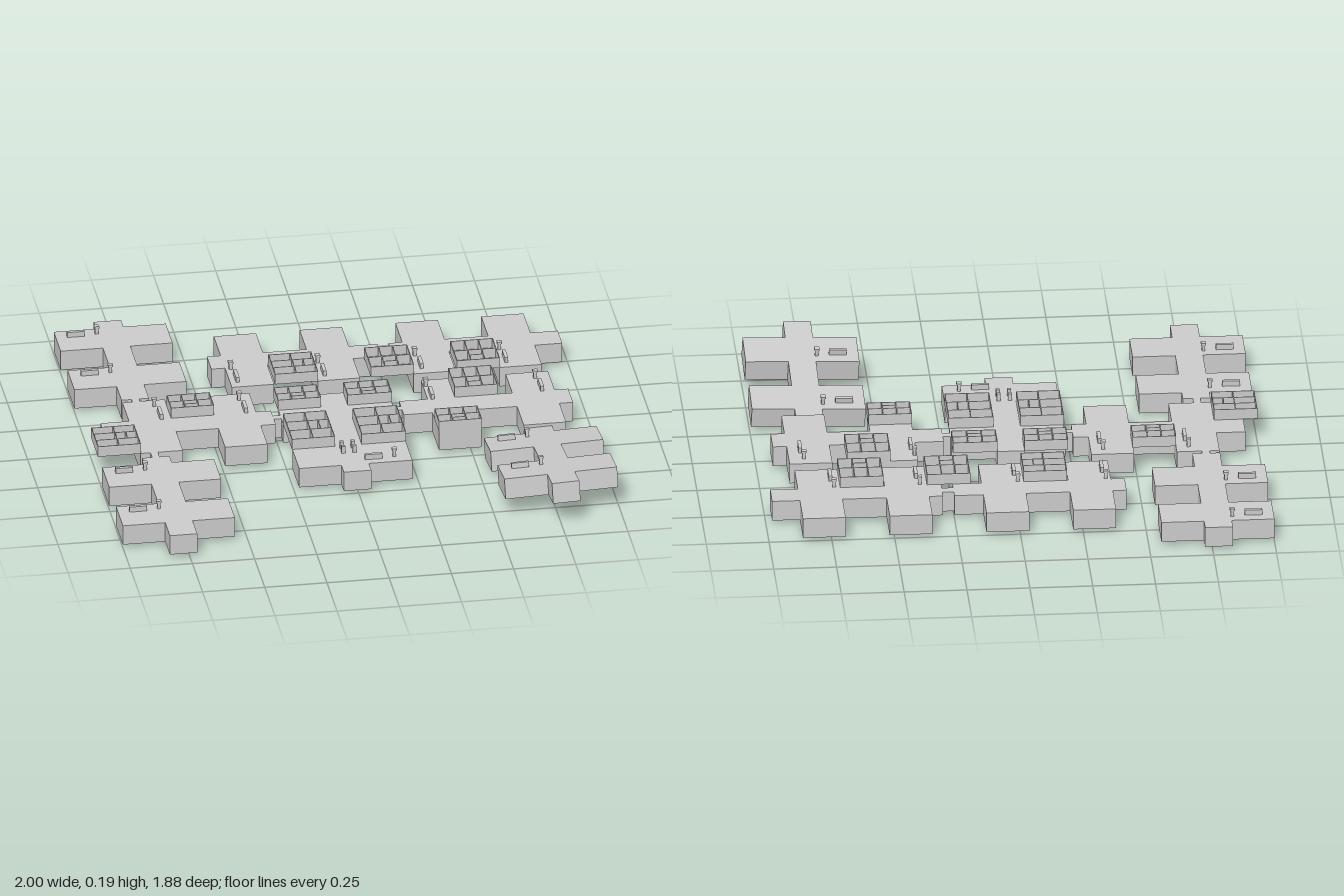
import * as THREE from 'three';

const material = new THREE.MeshStandardMaterial({ color: 0xcccccc, side: THREE.DoubleSide, flatShading: true });
const BOTTOM = 0.016, TOP = 0.1;

// Open-bottomed hall shell: union of [x0, z0, x1, z1] rectangles, roof plus outer walls
function shell(rects, y0, y1) {
  const unique = (a, b) => [...new Set(rects.flatMap(r => [r[a], r[b]]))].sort((p, q) => p - q);
  const xs = unique(0, 2), zs = unique(1, 3), pos = [];
  const filled = (i, j) => {
    if (i < 0 || j < 0 || i > xs.length - 2 || j > zs.length - 2) return false;
    const x = (xs[i] + xs[i + 1]) / 2, z = (zs[j] + zs[j + 1]) / 2;
    return rects.some(r => x > r[0] && x < r[2] && z > r[1] && z < r[3]);
  };
  const quad = (a, b, c, d) => pos.push(...a, ...b, ...c, ...a, ...c, ...d);
  const wall = (xa, za, xb, zb) => quad([xa, y0, za], [xb, y0, zb], [xb, y1, zb], [xa, y1, za]);
  for (let i = 0; i < xs.length - 1; i++) {
    for (let j = 0; j < zs.length - 1; j++) {
      if (!filled(i, j)) continue;
      const xa = xs[i], xb = xs[i + 1], za = zs[j], zb = zs[j + 1];
      quad([xa, y1, zb], [xb, y1, zb], [xb, y1, za], [xa, y1, za]);
      if (!filled(i, j + 1)) wall(xa, zb, xb, zb);
      if (!filled(i, j - 1)) wall(xb, za, xa, za);
      if (!filled(i + 1, j)) wall(xb, zb, xb, za);
      if (!filled(i - 1, j)) wall(xa, za, xa, zb);
    }
  }
  const geo = new THREE.BufferGeometry();
  geo.setAttribute('position', new THREE.Float32BufferAttribute(pos, 3));
  geo.computeVertexNormals();
  return geo;
}

function addMesh(parent, name, geo, x = 0, y = 0, z = 0) {
  const m = new THREE.Mesh(geo, material);
  m.name = name;
  m.position.set(x, y, z);
  parent.add(m);
  return m;
}

function box(parent, name, w, h, d, x, y, z) {
  return addMesh(parent, name, new THREE.BoxGeometry(w, h, d), x, y, z);
}

// Raised open-topped compartment block, standing on roof level
function compartments(parent, [x0, z0, x1, z1], upright) {
  const g = new THREE.Group();
  g.name = 'compartmentBlock';
  const w = x1 - x0, d = z1 - z0, t = 0.003, h = 0.045, y = TOP + h / 2;
  box(g, 'floor', w, 0.004, d, (x0 + x1) / 2, TOP + 0.002, (z0 + z1) / 2);
  // Wall ends as fractions of the block
  const walls = [[0, 0, 1, 0], [0, 1, 1, 1], [0, 0, 0, 1], [1, 0, 1, 1],
    [0, 0.5, 1, 0.5], [0.33, 0, 0.33, 0.5], [0.66, 0, 0.66, 1], [0.33, 0.75, 0.66, 0.75], [0.33, 0.5, 0.33, 1]];
  for (const wl of walls) {
    const [a, b, c, e] = upright ? [wl[1], wl[0], wl[3], wl[2]] : wl;
    box(g, 'partition', (c - a) * w + t, h, (e - b) * d + t,
      x0 + w * (a + c) / 2, y, z0 + d * (b + e) / 2);
  }
  parent.add(g);
}

// Small slab and post on a roof; turned ones run along z
function fitting(parent, x, z, turned = false, y = TOP) {
  const g = new THREE.Group();
  g.name = 'roofFitting';
  box(g, 'slab', 0.07, 0.022, 0.014, -0.035, 0.011, 0);
  box(g, 'post', 0.013, 0.032, 0.013, 0.05, 0.016, -0.01);
  box(g, 'postCap', 0.02, 0.008, 0.02, 0.05, 0.031, -0.01);
  g.position.set(x, y, z);
  if (turned) g.rotation.y = Math.PI / 2;
  parent.add(g);
}

export function createModel() {
  const model = new THREE.Group();
  model.name = 'modularBase';

  const halls = {
    backLeftHall: [[-0.83, -0.95, -0.72, -0.26], [-1, -0.89, -0.55, -0.72], [-1, -0.55, -0.55, -0.38],
      [-0.79, -0.26, -0.76, -0.24]],
    middleLeftHall: [[-0.945, -0.075, -0.26, 0.045], [-0.83, -0.24, -0.66, 0.21], [-0.49, -0.24, -0.32, 0.21],
      [-0.26, -0.03, -0.23, 0]],
    frontLeftHall: [[-0.83, 0.25, -0.72, 0.935], [-1, 0.305, -0.55, 0.48], [-1, 0.65, -0.55, 0.82],
      [-0.79, 0.21, -0.76, 0.25]],
    centreHall: [[-0.06, -0.185, 0.05, 0.5], [-0.23, -0.075, 0.225, 0.045], [-0.23, 0.27, 0.225, 0.44],
      [0.225, -0.03, 0.255, 0]],
    middleRightHall: [[0.255, -0.075, 0.935, 0.045], [0.37, -0.24, 0.54, 0.21], [0.71, -0.24, 0.88, 0.21]],
    backHall: [[-0.435, -0.58, 0.25, -0.47], [0.295, -0.58, 0.975, -0.47], [0.25, -0.545, 0.295, -0.505],
      ...[-0.38, -0.035, 0.35, 0.695].map(x => [x, -0.75, x + 0.17, -0.3])]
  };
  for (const [name, rects] of Object.entries(halls)) addMesh(model, name, shell(rects, BOTTOM, TOP));

  // Compartment blocks
  [[-1, 0.045, -0.83, 0.21], [-0.23, 0.045, -0.06, 0.27], [0.05, 0.045, 0.225, 0.27],
    [-0.205, -0.47, -0.035, -0.3]].forEach(r => compartments(model, r, true));
  [[-0.66, -0.185, -0.49, -0.075], [-0.23, -0.185, -0.06, -0.075], [0.05, -0.185, 0.225, -0.075],
    [0.18, -0.47, 0.35, -0.3], [0.525, -0.47, 0.695, -0.3], [0.48, -0.24, 0.65, -0.075],
    [0.37, 0.1, 0.54, 0.21]].forEach(r => compartments(model, r, false));

  // Roof fittings
  for (const z of [-0.84, -0.5, 0.36, 0.7]) fitting(model, -0.885, z);
  fitting(model, 0.11, 0.4);
  for (const x of [-0.7, -0.36, 0.39, 0.83]) fitting(model, x, -0.14, true);
  for (const x of [-0.35, 0, 0.39, 0.73]) fitting(model, x, -0.41, true);
  for (const x of [-0.035, 0.01]) {
    for (const z of [0.29, 0.33]) box(model, 'centrePost', 0.015, 0.03, 0.015, x, TOP + 0.015, z);
  }

  // Tilted front right hall
  const tilted = new THREE.Group();
  tilted.name = 'tiltedHall';
  addMesh(tilted, 'tiltedShell', shell([[-0.055, 0, 0.055, 0.69], [-0.228, 0.06, 0.225, 0.23],
    [-0.228, 0.4, 0.225, 0.575]], 0, 0.085));
  for (const z of [0.11, 0.455]) fitting(tilted, -0.11, z, false, 0.085);
  tilted.position.set(0.77, 0.004, 0.225);
  tilted.rotation.set(-0.145, 0, 0.035);
  model.add(tilted);
  return model;
}
